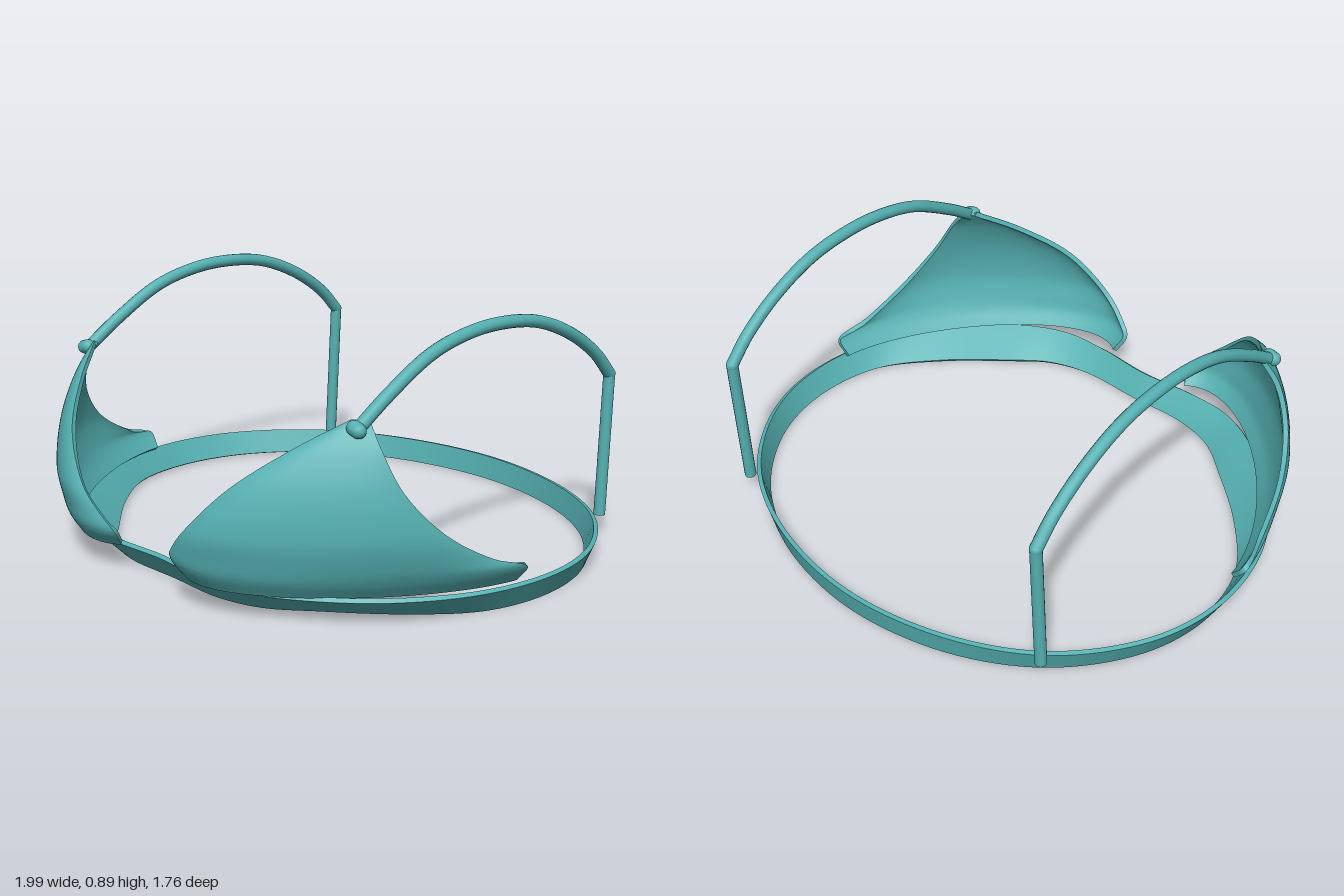
import * as THREE from 'three';
import { toCreasedNormals } from 'three/addons/utils/BufferGeometryUtils.js';

const V = (x, y, z) => new THREE.Vector3(x, y, z);
const material = new THREE.MeshStandardMaterial({ color: 0x55b0b2 });

// Thick sheet following point(u, v); the second skin lies behind the first.
function shell(point, nu, nv, thickness, closed = false) {
  const ring = 2 * (nv + 1), pos = [], index = [], e = 1e-3;
  const columns = closed ? nu : nu + 1;
  const wrap = (u) => (closed ? (u + 1) % 1 : Math.min(1, Math.max(0, u)));
  const clamp = (v) => Math.min(1, Math.max(0, v));
  for (let i = 0; i < columns; i++) {
    const u = i / nu, front = [], back = [];
    for (let j = 0; j <= nv; j++) {
      const v = j / nv, p = point(u, v);
      const du = point(wrap(u + e), v).sub(point(wrap(u - e), v));
      const dv = point(u, clamp(v + e)).sub(point(u, clamp(v - e)));
      const n = du.cross(dv).normalize();
      front.push(p);
      back.unshift(p.clone().addScaledVector(n, -thickness));
    }
    for (const p of [...front, ...back]) pos.push(p.x, p.y, p.z);
  }
  for (let i = 0; i < nu; i++) {
    for (let j = 0; j < ring; j++) {
      const k = (j + 1) % ring, a = i * ring, b = ((i + 1) % columns) * ring;
      index.push(a + j, b + j, b + k, a + j, b + k, a + k);
    }
  }
  // End caps of an open sheet
  if (!closed) {
    const z = nu * ring;
    for (let j = 0; j < nv; j++) {
      const p = j, q = j + 1, r = ring - 2 - j, s = ring - 1 - j;
      index.push(p, q, r, p, r, s, z + p, z + r, z + q, z + p, z + s, z + r);
    }
  }
  const g = new THREE.BufferGeometry();
  g.setAttribute('position', new THREE.Float32BufferAttribute(pos, 3));
  g.setIndex(index);
  return toCreasedNormals(g, 0.7);
}

// Closed loop from half an outline, front to back, mirrored in x
function loop(half, y) {
  const left = half.map(([x, z]) => V(x, y, z));
  const right = half.slice(1, -1).reverse().map(([x, z]) => V(-x, y, z));
  return new THREE.CatmullRomCurve3([...left, ...right], true);
}

// Band edges
const bandTop = loop([[0, 0.76], [0.22, 0.775], [0.4, 0.76], [0.58, 0.67], [0.8, 0.47], [0.95, 0.2],
  [0.99, -0.1], [0.92, -0.37], [0.71, -0.64], [0.4, -0.81], [0, -0.88]], 0.092);
const bandBottom = loop([[0, 0.7], [0.24, 0.7], [0.4, 0.65], [0.54, 0.54], [0.74, 0.36], [0.9, 0.15],
  [0.945, -0.1], [0.885, -0.36], [0.69, -0.62], [0.39, -0.795], [0, -0.865]], 0.005);

// Cup rows from hem to tip: inner edge, two bulge handles, outer edge
const cupRows = [
  [[0.17, 0.1, 0.79], [0.4, 0.1, 0.97], [0.9, 0.1, 0.42], [0.95, 0.1, 0.05]],
  [[0.15, 0.16, 0.83], [0.4, 0.16, 1.01], [0.93, 0.16, 0.47], [0.995, 0.16, 0.05]],
  [[0.19, 0.21, 0.85], [0.41, 0.21, 0.99], [0.92, 0.21, 0.5], [0.965, 0.21, 0.18]],
  [[0.28, 0.3, 0.86], [0.44, 0.29, 0.95], [0.88, 0.3, 0.54], [0.915, 0.32, 0.35]],
  [[0.42, 0.45, 0.8], [0.54, 0.45, 0.8], [0.76, 0.45, 0.61], [0.845, 0.46, 0.46]],
  [[0.56, 0.58, 0.66], [0.62, 0.58, 0.66], [0.71, 0.58, 0.57], [0.775, 0.59, 0.49]],
  [[0.67, 0.67, 0.52], [0.68, 0.672, 0.52], [0.7, 0.672, 0.5], [0.715, 0.665, 0.48]],
];
const cupGuides = [0, 1, 2, 3].map((k) => new THREE.CatmullRomCurve3(cupRows.map((r) => V(...r[k]))));

function cupPoint(u, v) {
  const [a, b, c, d] = cupGuides.map((g) => g.getPoint(v)), w = 1 - u;
  return a.multiplyScalar(w * w * w).addScaledVector(b, 3 * w * w * u)
    .addScaledVector(c, 3 * w * u * u).addScaledVector(d, u * u * u);
}

export function createModel() {
  const model = new THREE.Group();
  model.name = 'bikiniTop';
  const add = (name, geometry, parent = model) => {
    const mesh = new THREE.Mesh(geometry, material);
    mesh.name = name;
    parent.add(mesh);
    return mesh;
  };

  add('band', shell((u, v) => bandBottom.getPoint(u).lerp(bandTop.getPoint(u), v), 160, 4, 0.016, true));

  for (const [side, s] of [['left', 1], ['right', -1]]) {
    const half = new THREE.Group();
    half.name = side + 'Side';
    model.add(half);

    // Cup
    add(side + 'Cup', shell((u, v) => {
      const p = cupPoint(s > 0 ? u : 1 - u, v);
      p.x *= s;
      return p;
    }, 40, 36, 0.018), half);

    // Strap: arch over the shoulder, then a straight run down to the band
    const arch = [[0.64, 0.53], [0.725, 0.4], [0.825, 0.21], [0.865, 0.05], [0.875, -0.11],
      [0.852, -0.3], [0.78, -0.48], [0.685, -0.62], [0.6, -0.7]];
    const archCurve = new THREE.CatmullRomCurve3(arch.map(([y, z]) => V(s * 0.702, y, z)));
    add(side + 'StrapArch', new THREE.TubeGeometry(archCurve, 60, 0.022, 14), half);
    const drop = new THREE.LineCurve3(V(s * 0.702, 0.6, -0.7), V(s * 0.706, 0.085, -0.675));
    add(side + 'StrapDrop', new THREE.TubeGeometry(drop, 1, 0.021, 14), half);
    add(side + 'StrapBend', new THREE.SphereGeometry(0.022, 14, 10), half).position.set(s * 0.702, 0.6, -0.7);

    // Knot at the cup tip
    const knot = add(side + 'Knot', new THREE.CapsuleGeometry(0.025, 0.02, 6, 14), half);
    knot.position.set(s * 0.705, 0.648, 0.53);
    knot.rotation.z = Math.PI / 2 - s * 0.25;
  }
  return model;
}
